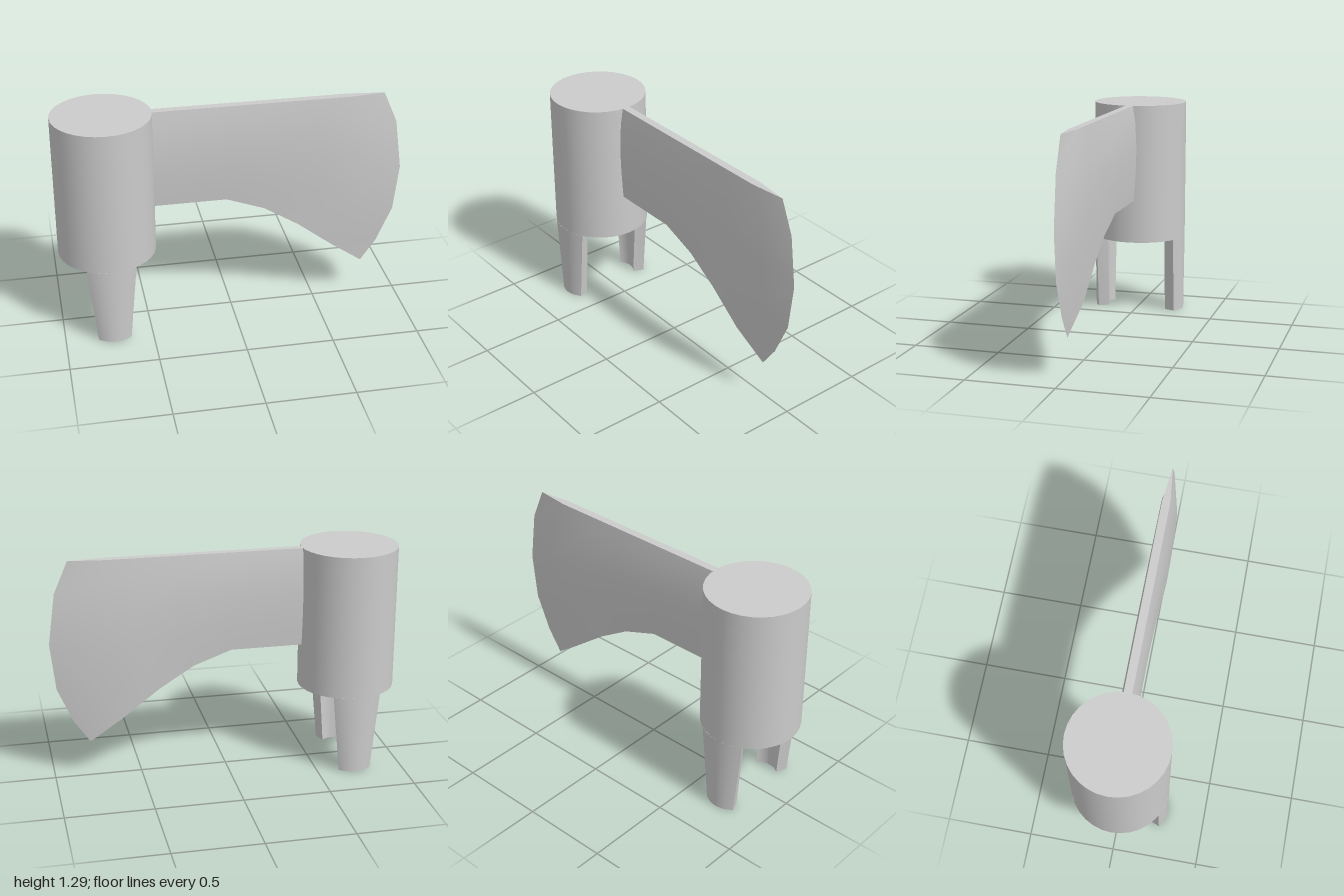
import * as THREE from 'three';
import { toCreasedNormals } from 'three/addons/utils/BufferGeometryUtils.js';

const SOCKET_X = -0.72, RADIUS = 0.28, TOP = 1.295, SOCKET_BOTTOM = 0.46;

// Closed loft through columns running from the socket to the cutting edge
function bladeGeometry() {
  const fractions = [1, 0.83, 0.56, 0.31, 0.12, 0]; // row heights within a column
  const thickness = [0.023, 0.038, 0.046, 0.042, 0.036, 0.031]; // half thickness per row
  const rows = fractions.length, ring = rows * 2;
  const column = (xs, bottom, thick = 1) => {
    const side = xs.map((x, i) =>
      [x, bottom + (TOP - bottom) * fractions[i], thickness[i] * thick]);
    return [...side, ...side.map(([x, y, z]) => [x, y, -z]).reverse()];
  };
  const bevel = [0.68, 0.77, 0.82, 0.79, 0.7, 0.6];
  const edge = [0.88, 0.96, 1, 0.97, 0.88, 0.79];
  const columns = [column(Array(rows).fill(-0.46), 0.72)];
  // The lower outline sweeps down towards the beard
  for (const [x, bottom] of [[-0.03, 0.72], [0.19, 0.64], [0.39, 0.515], [0.6, 0.355]]) {
    const t = (x + 0.03) / 0.63;
    columns.push(column(bevel.map((b) => -0.03 + (b + 0.03) * t), bottom));
  }
  columns.push(column(edge, 0.21, 0));

  const index = [];
  for (let c = 0; c < columns.length - 1; c++) {
    for (let i = 0; i < ring; i++) {
      const j = (i + 1) % ring;
      const a = c * ring + i, b = c * ring + j;
      const d = a + ring, e = b + ring;
      index.push(a, b, d);
      // Top and underside close to a single point at the cutting edge
      const pinched = c === columns.length - 2 && (i === rows - 1 || i === ring - 1);
      if (!pinched) index.push(b, e, d);
    }
  }
  const g = new THREE.BufferGeometry();
  g.setAttribute('position', new THREE.Float32BufferAttribute(columns.flat(2), 3));
  g.setIndex(index);
  return toCreasedNormals(g, 0.4);
}

// Curved tongue cut from a ring sector, narrowing downwards
function langetGeometry() {
  const half = Math.asin(0.138 / RADIUS), mid = Math.PI / 2;
  const shape = new THREE.Shape();
  shape.absarc(0, 0, RADIUS, mid - half, mid + half, false);
  shape.absarc(0, 0, 0.208, mid + half, mid - half, true);
  shape.closePath();
  const g = new THREE.ExtrudeGeometry(shape,
    { depth: SOCKET_BOTTOM, bevelEnabled: false, curveSegments: 8 });
  g.rotateX(Math.PI / 2).translate(0, SOCKET_BOTTOM, 0);
  const p = g.attributes.position;
  for (let i = 0; i < p.count; i++) {
    p.setX(i, p.getX(i) * (0.68 + 0.32 * p.getY(i) / SOCKET_BOTTOM));
  }
  return toCreasedNormals(g, 0.4);
}

export function createModel() {
  const group = new THREE.Group();
  group.name = 'axeHead';
  const material = new THREE.MeshStandardMaterial({ color: 0xcccccc });
  const add = (name, geometry) => {
    const mesh = new THREE.Mesh(geometry, material);
    mesh.name = name;
    group.add(mesh);
    return mesh;
  };

  // Solid round socket
  const height = TOP - SOCKET_BOTTOM;
  add('socket', new THREE.CylinderGeometry(RADIUS, RADIUS, height, 32))
    .position.set(SOCKET_X, SOCKET_BOTTOM + height / 2, 0);

  add('blade', bladeGeometry());

  // Langets at the front and back of the socket
  const langet = langetGeometry();
  for (const [name, turn] of [['frontLanget', 0], ['backLanget', Math.PI]]) {
    const mesh = add(name, langet);
    mesh.position.x = SOCKET_X;
    mesh.rotation.y = turn;
  }
  return group;
}
